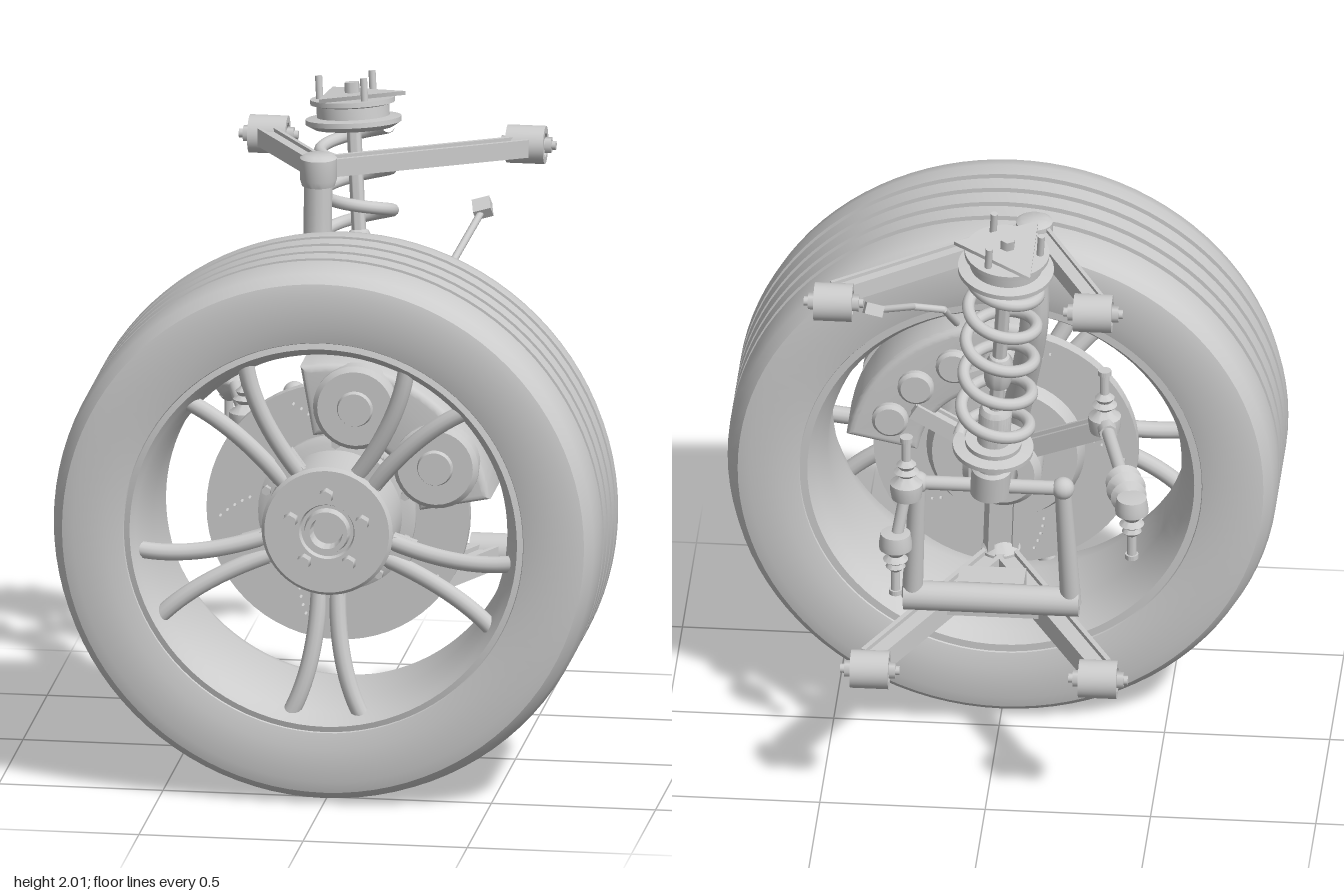
import * as THREE from 'three';
import { toCreasedNormals } from 'three/addons/utils/BufferGeometryUtils.js';

const mat = new THREE.MeshStandardMaterial({ color: 0xcccccc });
const V = (x, y, z) => new THREE.Vector3(x, y, z);
const UP = V(0, 1, 0);
const AXLE = 0.833; // wheel centre height

function add(parent, name, geo, pos) {
  const m = new THREE.Mesh(geo, mat);
  m.name = name;
  if (pos) m.position.copy(pos);
  parent.add(m);
  return m;
}

// Round bar between two points
function rod(parent, name, a, b, r0, r1 = r0, seg = 20) {
  const d = b.clone().sub(a);
  const m = add(parent, name, new THREE.CylinderGeometry(r1, r0, d.length(), seg), a.clone().add(b).multiplyScalar(0.5));
  m.quaternion.setFromUnitVectors(UP, d.normalize());
  return m;
}

// I-section beam between two points
function beam(parent, name, a, b, width, height) {
  const d = b.clone().sub(a), len = d.length();
  const g = new THREE.Group();
  g.name = name;
  g.position.copy(a).lerp(b, 0.5);
  g.lookAt(b);
  add(g, 'web', new THREE.BoxGeometry(width, height * 0.6, len));
  for (const s of [-1, 1]) add(g, 'flange', new THREE.BoxGeometry(width * 0.22, height, len), V(s * width * 0.42, 0, 0));
  parent.add(g);
}

// Turned part about local y; profile is [radius, height] from bottom to top
const turned = (pts, seg = 32) => toCreasedNormals(
  new THREE.LatheGeometry(pts.map(p => new THREE.Vector2(p[0], p[1])), seg), 0.6);
// Turned part about the wheel axis
const wheelPart = (pts, seg) => turned(pts, seg).rotateX(Math.PI / 2);

function tube(parent, name, pts, r, seg = 32) {
  return add(parent, name, new THREE.TubeGeometry(new THREE.CatmullRomCurve3(pts, false, 'centripetal'), seg, r, 12));
}

// Pivot bushing lying along x with a through bolt
function bushing(parent, pos) {
  const g = new THREE.Group();
  g.name = 'pivotBushing';
  g.position.copy(pos);
  g.rotation.z = Math.PI / 2;
  add(g, 'shell', turned([[0.037, -0.058], [0.058, -0.058], [0.058, 0.058], [0.037, 0.058], [0.037, -0.058]]));
  add(g, 'rubber', new THREE.CylinderGeometry(0.038, 0.038, 0.09, 24));
  add(g, 'bolt', new THREE.CylinderGeometry(0.014, 0.014, 0.18, 12));
  for (const s of [-1, 1]) add(g, 'nut', new THREE.CylinderGeometry(0.025, 0.025, 0.02, 6), V(0, s * 0.067, 0));
  parent.add(g);
}

// Ball joint with a ribbed boot and stud; dir is +1 (stud up) or -1 (stud down)
function ballJoint(parent, name, pos, dir) {
  const g = new THREE.Group();
  g.name = name;
  g.position.copy(pos);
  if (dir < 0) g.rotation.z = Math.PI;
  add(g, 'joint', turned([[0, -0.035], [0.045, -0.03], [0.05, 0], [0.05, 0.02], [0.03, 0.035], [0.022, 0.045], [0.038, 0.06],
    [0.022, 0.072], [0.03, 0.085], [0.014, 0.1], [0.014, 0.165], [0.02, 0.165], [0.02, 0.18], [0, 0.18]], 20));
  parent.add(g);
}

function buildWheel(root) {
  const wheel = new THREE.Group();
  wheel.name = 'wheel';
  wheel.position.y = AXLE;
  root.add(wheel);

  // Tyre with four tread grooves
  const tyre = [[0.595, 0.09], [0.61, 0.055], [0.66, 0.043], [0.76, 0.042], [0.795, 0.05], [0.82, 0.08], [0.832, 0.13]];
  for (const z of [0.19, 0.272, 0.355, 0.437])
    tyre.push([0.832, z - 0.012], [0.808, z - 0.011], [0.808, z + 0.011], [0.832, z + 0.012]);
  tyre.push([0.832, 0.505], [0.82, 0.557], [0.795, 0.587], [0.76, 0.596], [0.66, 0.594], [0.61, 0.582], [0.595, 0.55]);
  add(wheel, 'tyre', wheelPart(tyre, 96));

  // Rim barrel
  add(wheel, 'rim', wheelPart([[0.585, 0.06], [0.61, 0.06], [0.61, 0.09], [0.58, 0.11], [0.56, 0.2], [0.56, 0.45], [0.6, 0.54], [0.615, 0.575],
    [0.59, 0.582], [0.575, 0.56], [0.56, 0.53], [0.54, 0.44], [0.535, 0.2], [0.56, 0.1], [0.585, 0.06]], 96));

  // Hub
  add(wheel, 'wheelHub', wheelPart([[0, 0.27], [0.2, 0.27], [0.2, 0.5], [0.19, 0.51], [0.085, 0.51], [0.08, 0.495], [0.07, 0.495],
    [0.065, 0.525], [0.05, 0.525], [0.045, 0.48], [0, 0.48]], 48));

  // Five forked spokes and lug nuts
  for (let i = 0; i < 5; i++) {
    const spoke = new THREE.Group();
    spoke.name = 'forkedSpoke';
    spoke.rotation.z = Math.PI + i * Math.PI * 0.4;
    wheel.add(spoke);
    add(spoke, 'spokeRoot', new THREE.BoxGeometry(0.1, 0.1, 0.05), V(0, 0.215, 0.465));
    for (const s of [-1, 1]) {
      const path = new THREE.QuadraticBezierCurve3(V(s * 0.028, 0.18, 0.47), V(s * 0.03, 0.42, 0.52), V(s * 0.11, 0.57, 0.525));
      add(spoke, 'spoke', new THREE.TubeGeometry(path, 16, 0.026, 12));
    }
    const a = Math.PI / 2 + i * Math.PI * 0.4;
    add(wheel, 'lugNut', new THREE.CylinderGeometry(0.02, 0.024, 0.04, 6).rotateX(Math.PI / 2),
      V(Math.cos(a) * 0.115, Math.sin(a) * 0.115, 0.52));
  }
}

function buildBrake(root) {
  const brake = new THREE.Group();
  brake.name = 'brake';
  brake.position.y = AXLE;
  root.add(brake);

  // Disc with swept rows of drilled holes
  const disc = new THREE.Shape().absarc(0, 0, 0.4, 0, Math.PI * 2);
  for (let i = 0; i < 5; i++) for (let k = 0; k < 5; k++) {
    const a = 0.5 + i * Math.PI * 0.4 + k * 0.05, r = 0.27 + k * 0.022;
    disc.holes.push(new THREE.Path().absarc(Math.cos(a) * r, Math.sin(a) * r, 0.005, 0, Math.PI * 2, true));
  }
  add(brake, 'brakeDisc', new THREE.ExtrudeGeometry(disc, { depth: 0.04, bevelEnabled: false, curveSegments: 32 }), V(0, 0, 0.24));
  add(brake, 'discHat', wheelPart([[0, 0.2], [0.22, 0.2], [0.24, 0.24], [0.24, 0.3], [0.22, 0.31], [0, 0.31]], 48));
  for (let i = 0; i < 10; i++) {
    const a = (i + 0.5) * Math.PI / 5;
    add(brake, 'discBolt', new THREE.CylinderGeometry(0.014, 0.014, 0.03, 6).rotateX(Math.PI / 2),
      V(Math.cos(a) * 0.222, Math.sin(a) * 0.222, 0.315));
  }

  // Caliper: curved bridge, two front lobes, rear pistons
  const arc = new THREE.Shape();
  arc.absarc(0, 0, 0.46, 0.2, 1.75);
  arc.absarc(0, 0, 0.28, 1.75, 0.2, true);
  add(brake, 'caliperBody', toCreasedNormals(new THREE.ExtrudeGeometry(arc,
    { depth: 0.18, bevelSize: 0.02, bevelThickness: 0.02, bevelSegments: 3, curveSegments: 24 }), 0.6), V(0, 0, 0.16));
  for (const a of [0.52, 1.38]) {
    const c = V(Math.cos(a) * 0.36, Math.sin(a) * 0.36, 0);
    add(brake, 'caliperLobe', wheelPart([[0, 0.33], [0.13, 0.33], [0.13, 0.375], [0.115, 0.39], [0.055, 0.39], [0.05, 0.405], [0, 0.405]]), c);
  }
  for (const a of [0.4, 0.78, 1.16, 1.54])
    add(brake, 'piston', wheelPart([[0, 0.115], [0.045, 0.115], [0.055, 0.125], [0.055, 0.16]], 24), V(Math.cos(a) * 0.37, Math.sin(a) * 0.37, 0));
}

function buildKnuckle(root) {
  const g = new THREE.Group();
  g.name = 'knuckle';
  root.add(g);
  add(g, 'bearingHousing', wheelPart([[0.05, 0.08], [0.1, 0.08], [0.12, 0.1], [0.12, 0.2], [0.05, 0.2], [0.05, 0.08]], 40), V(0, AXLE, 0));
  add(g, 'axleStub', wheelPart([[0, 0.1], [0.035, 0.1], [0.035, 0.22], [0, 0.22]]), V(0, AXLE, 0));
  tube(g, 'upperPost', [V(-0.02, 0.92, 0.14), V(-0.06, 1.14, 0.04), V(-0.105, 1.4, -0.065), V(-0.115, 1.5, -0.088), V(-0.115, 1.8, -0.1)], 0.043, 40);
  add(g, 'upperBallJoint', turned([[0, -0.05], [0.05, -0.05], [0.056, -0.03], [0.056, 0.035], [0.04, 0.045], [0, 0.045]]), V(-0.115, 1.795, -0.1));
  beam(g, 'lowerLeg', V(0, 0.78, 0.15), V(0.01, 0.52, 0.18), 0.09, 0.06);
  beam(g, 'steeringArm', V(-0.04, 0.88, 0.15), V(-0.32, 1.03, 0.06), 0.05, 0.06);
  beam(g, 'caliperArm', V(0.04, 0.88, 0.15), V(0.27, 1.02, 0.14), 0.06, 0.05);
  beam(g, 'caliperArm', V(0, 0.9, 0.15), V(0.09, 1.17, 0.14), 0.06, 0.05);
}

function buildArms(root) {
  const g = new THREE.Group();
  g.name = 'controlArms';
  root.add(g);
  // Upper wishbone
  const top = V(-0.115, 1.8, -0.1);
  for (const x of [-0.33, 0.455]) {
    bushing(g, V(x, 1.775, -0.535));
    beam(g, 'upperArm', top, V(x, 1.78, -0.49), 0.055, 0.055);
  }
  // Lower wishbone with cross brace
  const low = V(0.01, 0.49, 0.18);
  for (const x of [-0.345, 0.345]) {
    bushing(g, V(x, 0.495, -0.535));
    beam(g, 'lowerArm', low, V(x, 0.495, -0.49), 0.07, 0.07);
  }
  add(g, 'lowerBallJoint', turned([[0, -0.05], [0.05, -0.05], [0.06, -0.03], [0.06, 0.03], [0.035, 0.05], [0, 0.07]]), low);
  add(g, 'crossBrace', new THREE.BoxGeometry(0.36, 0.04, 0.06), V(0, 0.5, -0.14));
  add(g, 'braceBracket', new THREE.BoxGeometry(0.2, 0.09, 0.095), V(0.01, 0.565, -0.14));
}

function buildLinks(root) {
  const g = new THREE.Group();
  g.name = 'linkages';
  root.add(g);
  // Cross bar with upright arms
  rod(g, 'crossBar', V(-0.265, 0.605, -0.27), V(0.265, 0.605, -0.27), 0.045);
  for (const s of [-1, 1]) {
    rod(g, 'barArm', V(s * 0.24, 0.6, -0.27), V(s * 0.22, 1.02, -0.32), 0.032, 0.025);
    add(g, 'armEnd', new THREE.SphereGeometry(0.035, 16, 12), V(s * 0.22, 1.03, -0.32));
  }
  rod(g, 'upperCrossBar', V(-0.22, 1.03, -0.32), V(0.22, 1.03, -0.32), 0.022);
  // Drop link
  ballJoint(g, 'upperLinkJoint', V(0.25, 1.03, -0.36), 1);
  ballJoint(g, 'lowerLinkJoint', V(0.28, 0.86, -0.39), -1);
  rod(g, 'dropLink', V(0.25, 1.03, -0.36), V(0.28, 0.86, -0.39), 0.018);
  // Tie rod with ribbed bellows
  const a = V(-0.315, 1.05, 0.05), b = V(-0.44, 1.06, -0.46);
  rod(g, 'tieRod', a, b, 0.02);
  rod(g, 'tieRodSleeve', a, a.clone().lerp(b, 0.14), 0.032, 0.028, 8);
  ballJoint(g, 'innerTieRodJoint', a, 1);
  ballJoint(g, 'outerTieRodJoint', b, -1);
  const boot = add(g, 'bellows', turned([[0.02, 0], [0.035, 0.015], [0.055, 0.04], [0.035, 0.065], [0.06, 0.09], [0.038, 0.115], [0.055, 0.14], [0.03, 0.16]], 24),
    a.clone().lerp(b, 0.62));
  boot.quaternion.setFromUnitVectors(UP, b.clone().sub(a).normalize());
  // Sensor cable with square plug
  const pts = [V(0.14, 1.32, 0.14), V(0.17, 1.43, 0.03), V(0.26, 1.46, -0.01), V(0.35, 1.62, -0.31)];
  for (let i = 0; i < 3; i++) rod(g, 'sensorCable', pts[i], pts[i + 1], 0.011, 0.011, 10);
  add(g, 'cablePlug', new THREE.BoxGeometry(0.055, 0.035, 0.055), V(0.352, 1.63, -0.325)).rotation.set(0.5, 0.2, 0.2);
}

function buildStrut(root) {
  const g = new THREE.Group();
  g.name = 'strut';
  g.position.set(0, 1.02, -0.325);
  g.quaternion.setFromUnitVectors(UP, V(-0.06, 0.88, -0.115).normalize());
  root.add(g);
  add(g, 'damperBody', turned([[0, -0.01], [0.06, -0.01], [0.06, 0.08], [0.05, 0.09], [0.05, 0.3], [0.04, 0.315], [0.022, 0.315],
    [0.022, 0.4], [0.036, 0.405], [0.043, 0.43], [0.043, 0.48], [0.03, 0.51], [0.022, 0.515], [0.022, 0.9]]));
  add(g, 'lowerSpringSeat', turned([[0.05, 0.13], [0.07, 0.13], [0.08, 0.15], [0.122, 0.155], [0.122, 0.17], [0.085, 0.175], [0.085, 0.19], [0.05, 0.19]], 40));
  add(g, 'upperSpringSeat', turned([[0.02, 0.825], [0.12, 0.825], [0.145, 0.84], [0.145, 0.855], [0.11, 0.86], [0.11, 0.895], [0.128, 0.9], [0.128, 0.915], [0, 0.915]], 40));
  // Coil spring
  const coil = [];
  for (let i = 0; i <= 100; i++) {
    const t = i / 100, a = t * Math.PI * 2 * 5;
    coil.push(V(Math.cos(a) * 0.105, 0.19 + t * 0.635, Math.sin(a) * 0.105));
  }
  tube(g, 'coilSpring', coil, 0.019, 240);
  // Triangular top mount with studs
  add(g, 'mountPlate', new THREE.CylinderGeometry(0.162, 0.162, 0.012, 3).rotateY(Math.PI / 2).toNonIndexed(), V(0, 0.925, 0));
  add(g, 'topNut', new THREE.CylinderGeometry(0.024, 0.024, 0.035, 6), V(0, 0.945, 0));
  for (let i = 0; i < 3; i++) {
    const a = Math.PI + i * Math.PI * 2 / 3;
    add(g, 'mountStud', new THREE.CylinderGeometry(0.011, 0.011, 0.085, 12), V(Math.cos(a) * 0.1, 0.942, Math.sin(a) * 0.1));
  }
}

export function createModel() {
  const root = new THREE.Group();
  root.name = 'wheelSuspension';
  for (const build of [buildWheel, buildBrake, buildKnuckle, buildArms, buildLinks, buildStrut]) build(root);
  return root;
}
